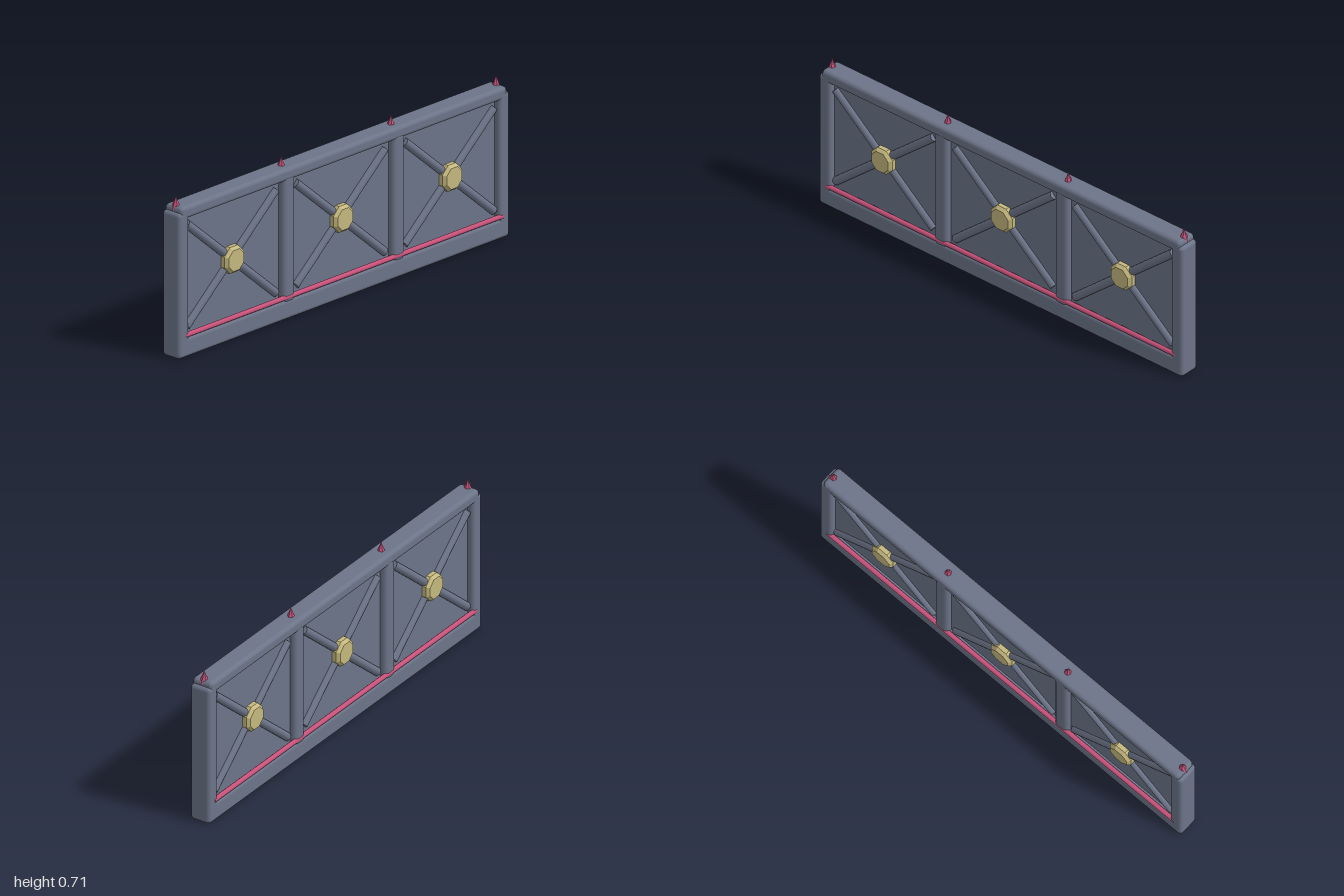
import * as THREE from 'three';
import { RoundedBoxGeometry } from 'three/addons/geometries/RoundedBoxGeometry.js';

export function createModel() {
  const slate = new THREE.MeshStandardMaterial({ color: 0x6c7488 });
  slate.name = 'slate';
  const gold = new THREE.MeshStandardMaterial({ color: 0xc4b87e, flatShading: true });
  gold.name = 'pale gold';
  const rose = new THREE.MeshStandardMaterial({ color: 0xc8527a });
  rose.name = 'rose';

  const model = new THREE.Group();
  model.name = 'fencePanel';

  const add = (name, geometry, material, x, y, z) => {
    const mesh = new THREE.Mesh(geometry, material);
    mesh.name = name;
    mesh.position.set(x, y, z);
    model.add(mesh);
    return mesh;
  };
  const bar = (name, w, h, d, r, x, y) =>
    add(name, new RoundedBoxGeometry(w, h, d, 3, r), slate, x, y, 0);

  // Frame: rails, end posts, inner posts and the recessed panel
  bar('bottomRail', 2, 0.09, 0.1, 0.018, 0, 0.045);
  bar('topRail', 1.97, 0.056, 0.1, 0.018, 0, 0.642);
  for (const s of [-1, 1]) {
    bar('endPost', 0.064, 0.646, 0.1, 0.018, s * 0.968, 0.323);
    bar('innerPost', 0.072, 0.57, 0.1, 0.022, s * 0.331, 0.355);
  }
  add('panel', new THREE.BoxGeometry(1.92, 0.58, 0.04), slate, 0, 0.35, 0);

  // Crossed braces and a bevelled boss on both faces of each bay
  const midY = 0.353, dx = 0.27, dy = 0.228;
  const brace = new THREE.CylinderGeometry(0.019, 0.019, 2 * Math.hypot(dx, dy), 10);
  const boss = new THREE.LatheGeometry([
    [0, -0.054], [0.05, -0.054], [0.063, -0.04],
    [0.063, 0.04], [0.05, 0.054], [0, 0.054],
  ].map(([r, y]) => new THREE.Vector2(r, y)), 8);
  boss.rotateY(Math.PI / 8);
  boss.rotateX(Math.PI / 2);
  for (const x of [-0.658, 0, 0.658]) {
    for (const side of [-1, 1]) {
      for (const lean of [-1, 1]) {
        add('brace', brace, slate, x, midY, side * 0.02).rotation.z = lean * Math.atan2(dx, dy);
      }
    }
    add('boss', boss, gold, x, midY, 0);
  }

  // Thin trim rod along the bottom of both faces
  const rod = new THREE.CylinderGeometry(0.011, 0.011, 1.92, 10);
  rod.rotateZ(Math.PI / 2);
  for (const side of [-1, 1]) add('trimRod', rod, rose, 0, 0.098, side * 0.042);

  // Spikes above the posts
  const spike = new THREE.ConeGeometry(0.023, 0.06, 6).toNonIndexed();
  spike.rotateY(Math.PI / 6);
  spike.computeVertexNormals();
  for (const x of [-0.966, -0.331, 0.331, 0.966]) add('spike', spike, rose, x, 0.68, 0);

  return model;
}
